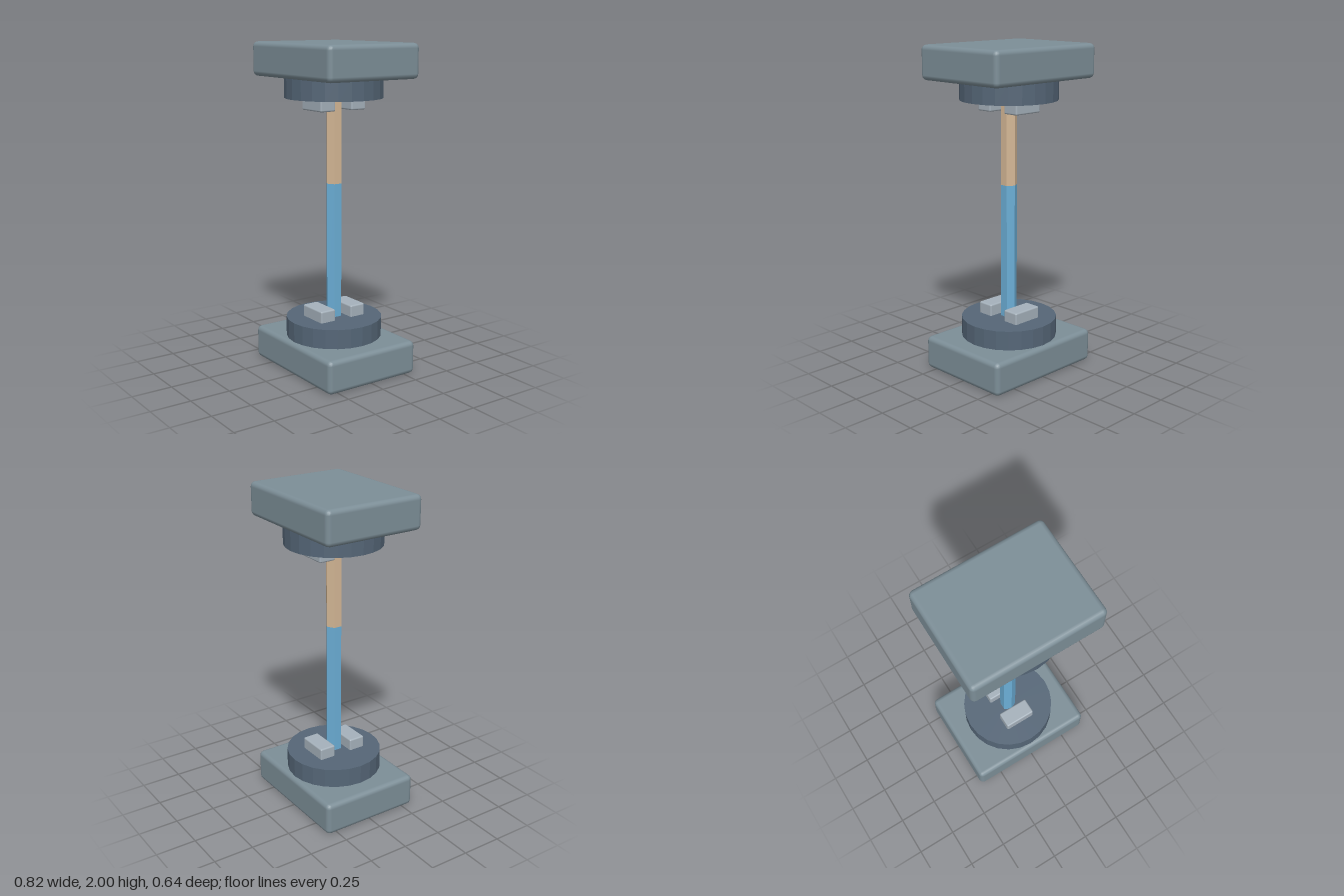
import * as THREE from 'three';
import { RoundedBoxGeometry } from 'three/addons/geometries/RoundedBoxGeometry.js';

const paint = (name, color) => {
  const m = new THREE.MeshStandardMaterial({ color });
  m.name = name;
  return m;
};

// Cylinder with flat facets, placed between two heights
function facetedCylinder(radius, y0, y1, sides) {
  const g = new THREE.CylinderGeometry(radius, radius, y1 - y0, sides).toNonIndexed();
  g.computeVertexNormals();
  return g.translate(0, (y0 + y1) / 2, 0);
}

export function createModel() {
  const slabGrey = paint('slab grey', 0x7c8e97);
  const darkSlate = paint('dark slate', 0x556677);
  const paleGrey = paint('pale grey', 0xa5b1bb);
  const blue = paint('blue', 0x6baed6);
  const tan = paint('tan', 0xd4b795);

  const model = new THREE.Group();
  model.name = 'post';
  const add = (parent, name, geometry, material) => {
    const mesh = new THREE.Mesh(geometry, material);
    mesh.name = name;
    parent.add(mesh);
    return mesh;
  };

  // One end: rounded slab, round collar and two clamp blocks
  function makeEnd(name) {
    const end = new THREE.Group();
    end.name = name;
    add(end, 'slab', new RoundedBoxGeometry(0.82, 0.206, 0.64, 2, 0.03), slabGrey).position.y = 0.103;
    add(end, 'collar', facetedCylinder(0.295, 0.2, 0.325, 24), darkSlate);
    for (const side of [1, -1]) {
      const block = add(end, side > 0 ? 'frontClamp' : 'backClamp',
        new RoundedBoxGeometry(0.2, 0.09, 0.105, 2, 0.01), paleGrey);
      block.position.set(0, 0.352, side * 0.11);
    }
    model.add(end);
    return end;
  }

  makeEnd('base');
  // The top end is the base turned upside down
  const top = makeEnd('topEnd');
  top.rotation.x = Math.PI;
  top.position.y = 2;

  // Hexagonal rod in two colours
  add(model, 'lowerRod', facetedCylinder(0.05, 0.31, 1.16, 6), blue);
  add(model, 'upperRod', facetedCylinder(0.05, 1.16, 1.69, 6), tan);

  return model;
}
